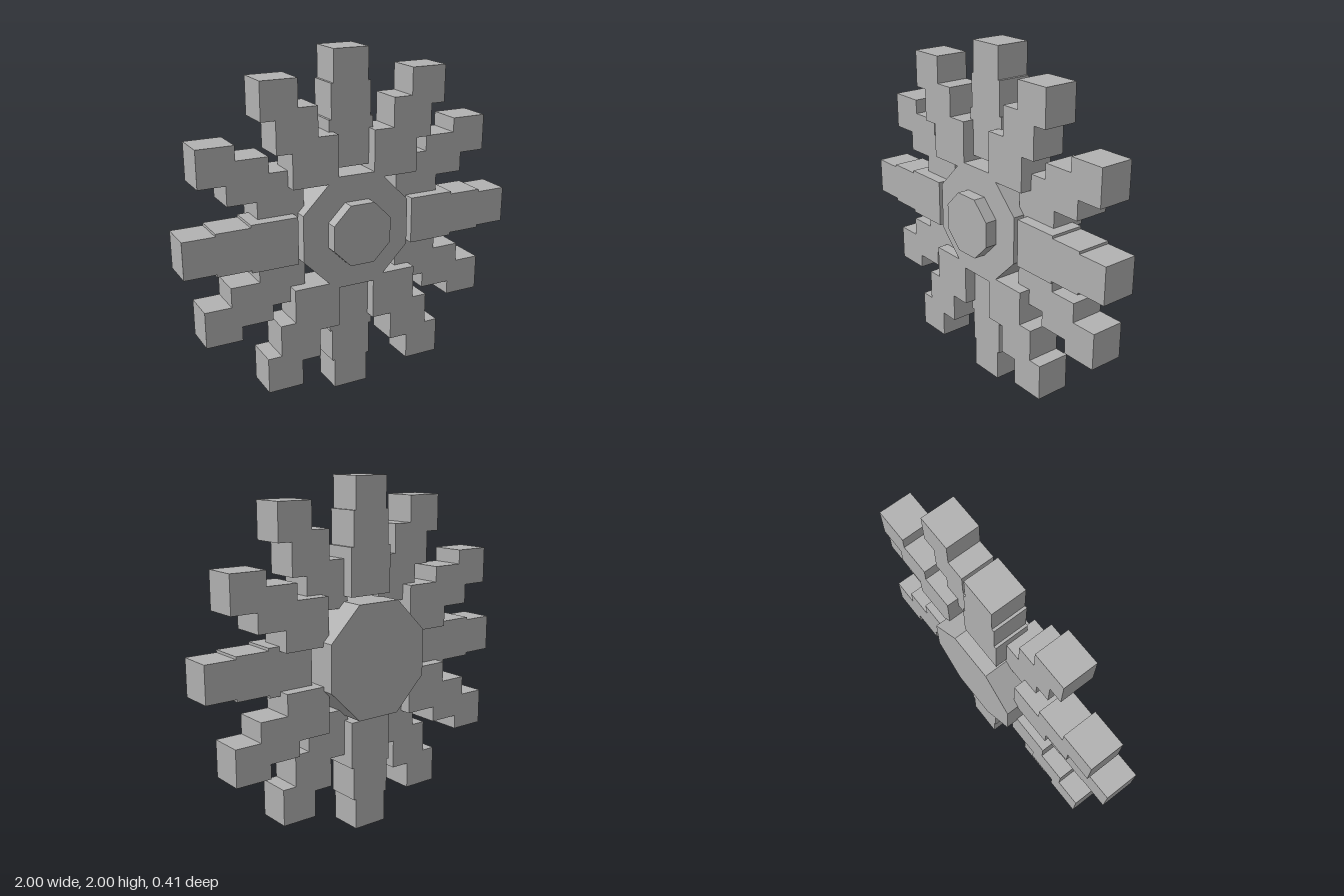
import * as THREE from 'three';

export function createModel() {
  const model = new THREE.Group();
  const grey = new THREE.MeshStandardMaterial({ color: 0xb2b2b2 });
  grey.name = 'grey';

  const add = (geometry, name, parent, x, y, z) => {
    const mesh = new THREE.Mesh(geometry, grey);
    mesh.name = name;
    mesh.position.set(x, y, z);
    parent.add(mesh);
  };

  // Flat-sided octagonal disc facing +z; halfWidth is measured to the flats
  const octagon = (halfWidth, depth) => {
    const r = halfWidth / Math.cos(Math.PI / 8);
    return new THREE.CylinderGeometry(r, r, depth, 8, 1, false, Math.PI / 8)
      .rotateX(Math.PI / 2)
      .toNonIndexed();
  };
  const disc = (halfWidth, back, front, name) => {
    const geometry = octagon(halfWidth, front - back);
    geometry.computeVertexNormals();
    add(geometry, name, model, 0, 1, (front + back) / 2);
  };

  // Hub and raised centre button
  disc(0.325, -0.204, 0.134, 'hub');
  disc(0.175, 0.13, 0.204, 'centreButton');

  // Twelve petals of three upright blocks, staggered forward and back
  const blocks = [
    { name: 'innerBlock', radius: 0.49, size: 0.27 },
    { name: 'middleBlock', radius: 0.7, size: 0.24 },
    { name: 'outerBlock', radius: 0.895, size: 0.21 },
  ];
  for (let i = 0; i < 12; i++) {
    const petal = new THREE.Group();
    petal.name = `petal${i + 1}`;
    petal.position.set(0, 1, i % 2 ? -0.034 : 0.034);
    const angle = (i * Math.PI) / 6;
    for (const { name, radius, size } of blocks) {
      add(new THREE.BoxGeometry(size, size, 0.2), name, petal,
        radius * Math.cos(angle), radius * Math.sin(angle), 0);
    }
    model.add(petal);
  }

  return model;
}
